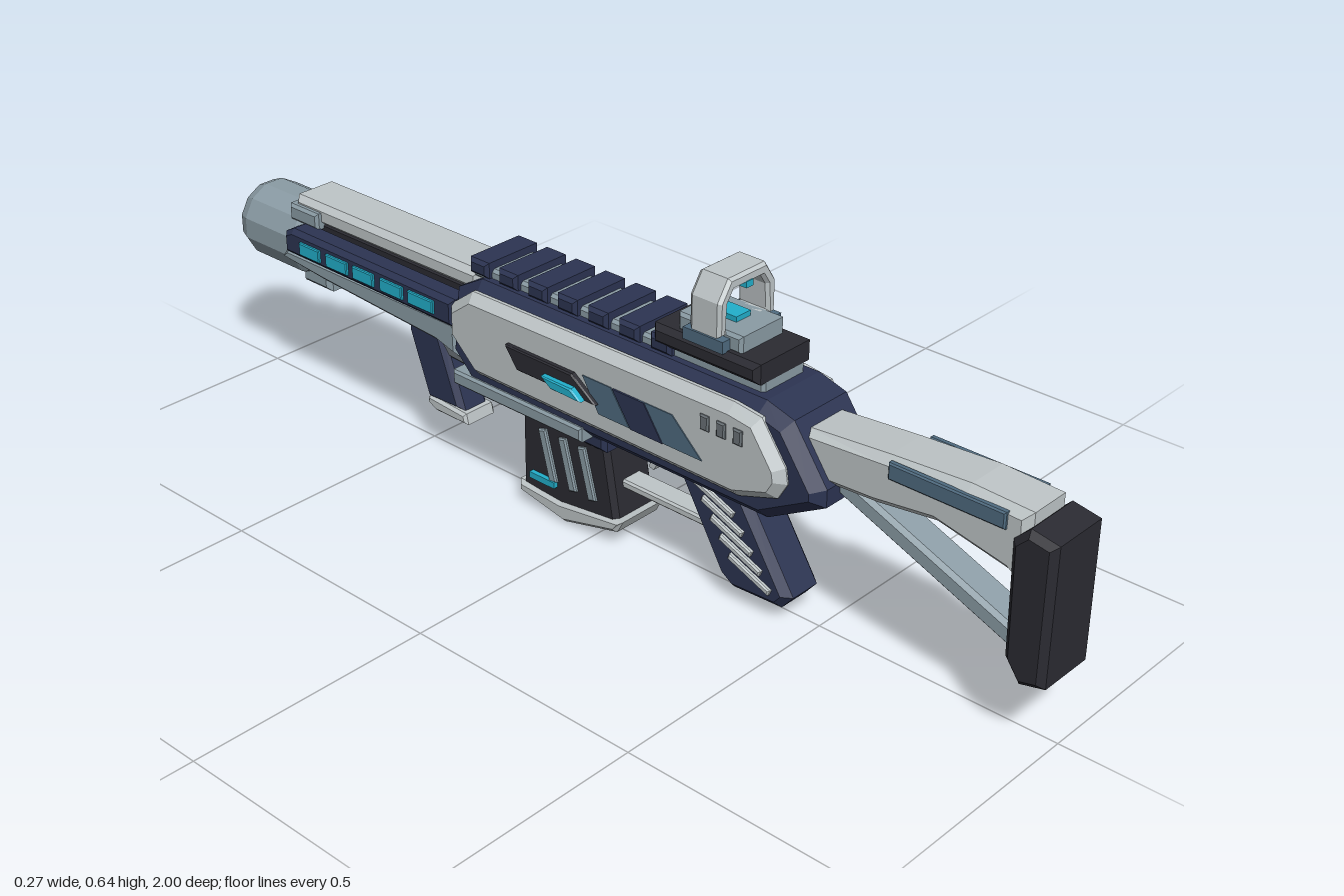
import * as THREE from 'three';

const mat = (name, color) => {
  const m = new THREE.MeshStandardMaterial({ color });
  m.name = name;
  return m;
};

export function createModel() {
  const light = mat('light grey', 0xbfc6c8), steel = mat('steel grey', 0x8b9ca5);
  const slate = mat('slate blue', 0x4f6b80), navy = mat('navy', 0x2c3452);
  const black = mat('black', 0x2b2b32), cyan = mat('cyan', 0x22b0cc);
  const grey = mat('mid grey', 0x6a7277);

  const model = new THREE.Group();
  model.name = 'rifle';

  const add = (name, geo, material, parent = model) => {
    const mesh = new THREE.Mesh(geo, material);
    mesh.name = name;
    parent.add(mesh);
    return mesh;
  };

  // Side profile of [z, y] points, extruded from x0 to x1 with a chamfer
  const slab = (name, pts, x0, x1, material, bevel = 0) => {
    const shape = new THREE.Shape(pts.map(p => new THREE.Vector2(p[0], p[1])));
    const geo = new THREE.ExtrudeGeometry(shape, {
      depth: x1 - x0 - 2 * bevel, bevelEnabled: bevel > 0, bevelThickness: bevel,
      bevelSize: bevel, bevelOffset: -bevel, bevelSegments: 1,
    });
    geo.translate(0, 0, bevel - (x1 - x0) / 2);
    geo.rotateY(-Math.PI / 2);
    geo.translate((x0 + x1) / 2, 0, 0);
    return add(name, geo, material);
  };
  const mid = (name, pts, half, material, bevel) => slab(name, pts, -half, half, material, bevel);
  const sides = (name, pts, x0, x1, material, bevel) => {
    slab(name + 'Left', pts, x0, x1, material, bevel);
    slab(name + 'Right', pts, -x1, -x0, material, bevel);
  };
  const rect = (z0, z1, y0, y1) => [[z0, y0], [z1, y0], [z1, y1], [z0, y1]];
  // Straight bar between two [z, y] points
  const bar = (a, b, w) => {
    const l = Math.hypot(b[0] - a[0], b[1] - a[1]);
    const nz = -(b[1] - a[1]) / l * w / 2, ny = (b[0] - a[0]) / l * w / 2;
    return [[a[0] + nz, a[1] + ny], [a[0] - nz, a[1] - ny], [b[0] - nz, b[1] - ny], [b[0] + nz, b[1] + ny]];
  };

  // Stock
  mid('buttPad', [[1, 0.14], [0.95, 0.128], [0.92, 0.17], [0.915, 0.39], [0.945, 0.42], [1, 0.41]], 0.07, black, 0.012);
  mid('stockBeam', [[0.94, 0.30], [0.9, 0.32], [0.76, 0.35], [0.64, 0.335], [0.53, 0.33], [0.48, 0.42],
    [0.66, 0.435], [0.82, 0.445], [0.94, 0.44]], 0.057, light, 0.015);
  mid('stockStrut', bar([0.94, 0.175], [0.54, 0.335], 0.04), 0.035, steel, 0.008);
  sides('stockInlay', rect(0.67, 0.9, 0.40, 0.432), 0.05, 0.064, slate, 0.003);

  // Receiver
  mid('receiver', [[0.555, 0.30], [0.555, 0.335], [0.48, 0.44], [0.42, 0.457], [-0.27, 0.457], [-0.335, 0.42],
    [-0.35, 0.29], [-0.29, 0.23], [0.43, 0.23]], 0.092, navy, 0.022);
  sides('sidePanel', [[0.49, 0.33], [0.485, 0.36], [0.43, 0.437], [0.37, 0.445], [-0.27, 0.44], [-0.33, 0.395],
    [-0.33, 0.335], [-0.26, 0.27], [0.385, 0.266], [0.47, 0.295]], 0.07, 0.113, light, 0.018);
  sides('rearInlay', [[0.315, 0.315], [0.2, 0.315], [0.165, 0.38], [0.245, 0.38]], 0.108, 0.115, slate);
  sides('stripeInlay', [[0.225, 0.315], [0.15, 0.315], [0.105, 0.38], [0.18, 0.38]], 0.109, 0.117, navy);
  sides('frontInlay', [[0.145, 0.315], [0.07, 0.315], [0.03, 0.38], [0.1, 0.38]], 0.108, 0.115, slate);
  sides('ejectionPort', [[0.07, 0.335], [-0.13, 0.335], [-0.16, 0.378], [0.01, 0.378]], 0.105, 0.124, black, 0.003);
  sides('portLever', [[0.045, 0.337], [-0.03, 0.337], [-0.055, 0.356], [0.02, 0.356]], 0.11, 0.137, cyan, 0.003);
  for (const z of [0.31, 0.347, 0.384])
    sides('vent', rect(z, z + 0.02, 0.378, 0.408), 0.105, 0.118, grey, 0.003);
  sides('lowerRail', rect(-0.33, 0.01, 0.225, 0.255), 0.05, 0.1, steel, 0.005);
  mid('magazineWell', rect(-0.28, 0.04, 0.2, 0.235), 0.068, navy, 0.008);

  // Top rail
  mid('railBase', rect(-0.31, 0.4, 0.445, 0.475), 0.056, steel, 0.006);
  for (let i = 0; i < 7; i++)
    mid('railTooth', rect(-0.307 + i * 0.076, -0.258 + i * 0.076, 0.458, 0.49), 0.07, navy, 0.007);

  // Sight
  mid('sightBase', rect(0.16, 0.4, 0.475, 0.514), 0.075, black, 0.01);
  mid('sightClamp', rect(0.235, 0.325, 0.512, 0.535), 0.078, slate);
  mid('sightMount', rect(0.205, 0.35, 0.51, 0.545), 0.058, steel, 0.006);
  const frame = new THREE.Shape([[-0.074, 0.535], [0.074, 0.535], [0.074, 0.6], [0.048, 0.639], [-0.048, 0.639],
    [-0.074, 0.6]].map(p => new THREE.Vector2(...p)));
  frame.holes.push(new THREE.Path([[-0.055, 0.545], [-0.052, 0.595], [-0.038, 0.616], [0.038, 0.616],
    [0.052, 0.595], [0.055, 0.545]].map(p => new THREE.Vector2(...p))));
  const frameGeo = new THREE.ExtrudeGeometry(frame, { depth: 0.056, bevelThickness: 0.007, bevelSize: 0.005,
    bevelOffset: -0.005, bevelSegments: 1 });
  add('sightFrame', frameGeo.translate(0, 0, 0.252), light);
  mid('sightLens', rect(0.255, 0.305, 0.54, 0.555), 0.019, cyan);
  mid('sightDot', rect(0.243, 0.317, 0.61, 0.622), 0.009, cyan);

  // Handguard and barrel
  mid('barrelCore', rect(-0.82, -0.3, 0.315, 0.425), 0.05, black, 0.015);
  mid('topCover', [[-0.3, 0.41], [-0.3, 0.455], [-0.83, 0.455], [-0.84, 0.41]], 0.055, light, 0.012);
  sides('coverCollar', rect(-0.835, -0.75, 0.405, 0.44), 0.035, 0.068, steel, 0.006);
  sides('handguardRail', [[-0.32, 0.345], [-0.32, 0.405], [-0.79, 0.408], [-0.815, 0.395], [-0.815, 0.35]], 0.05, 0.104, navy, 0.01);
  for (const [a, b] of [[-0.44, -0.37], [-0.52, -0.457], [-0.6, -0.54], [-0.68, -0.617], [-0.76, -0.7]])
    sides('glowCell', rect(a, b, 0.363, 0.39), 0.095, 0.11, cyan, 0.002);
  sides('lowerGuard', [[-0.33, 0.275], [-0.33, 0.35], [-0.83, 0.35], [-0.85, 0.325], [-0.72, 0.31], [-0.39, 0.29]], 0.03, 0.088, steel, 0.01);
  mid('guardBlock', [[-0.28, 0.25], [-0.28, 0.35], [-0.38, 0.35], [-0.39, 0.28], [-0.37, 0.255]], 0.075, grey, 0.01);
  mid('barrelBracket', rect(-0.83, -0.745, 0.262, 0.32), 0.05, steel, 0.01);
  mid('underBarrel', rect(-0.8, -0.36, 0.28, 0.32), 0.028, black, 0.01);

  // Muzzle, turned around the barrel line
  const turned = (name, pts, material) => {
    let geo = new THREE.LatheGeometry(pts.map(p => new THREE.Vector2(...p)), 12, Math.PI / 12);
    geo = geo.toNonIndexed();
    geo.computeVertexNormals();
    add(name, geo.rotateX(-Math.PI / 2).translate(0, 0.35, 0), material);
  };
  turned('muzzle', [[0, 0.8], [0.075, 0.8], [0.083, 0.82], [0.083, 0.965], [0.073, 0.99], [0.053, 0.99], [0.053, 0.95]], steel);
  turned('muzzleRing', [[0.054, 0.95], [0.054, 1], [0.034, 1], [0.03, 0.94]], cyan);
  turned('bore', [[0.034, 0.945], [0, 0.945]], black);

  // Foregrip
  mid('foregrip', [[-0.44, 0.3], [-0.525, 0.29], [-0.527, 0.255], [-0.475, 0.113], [-0.375, 0.118]], 0.038, navy, 0.012);
  mid('foregripFoot', [[-0.36, 0.095], [-0.365, 0.118], [-0.47, 0.125], [-0.475, 0.108], [-0.45, 0.095]], 0.04, light, 0.006);

  // Pistol grip with slanted ribs
  mid('pistolGrip', [[0.35, 0.24], [0.19, 0.24], [0.3, 0.045], [0.33, 0.025], [0.44, 0.03], [0.465, 0.06]], 0.048, navy, 0.015);
  for (let i = 0; i < 5; i++) {
    const z = 0.425 - i * 0.022, y = 0.062 + i * 0.031;
    sides('gripRib', bar([z, y], [z - 0.095, y + 0.038], 0.013), 0.04, 0.056, light, 0.003);
  }

  // Trigger and guard
  mid('trigger', [[0.145, 0.235], [0.12, 0.235], [0.1, 0.175], [0.112, 0.172]], 0.012, light);
  mid('triggerGuard', rect(0.03, 0.26, 0.112, 0.13), 0.025, light, 0.004);

  // Magazine
  mid('magazine', [[0.03, 0.22], [-0.19, 0.22], [-0.19, 0.04], [-0.08, 0.03], [0.06, 0.05]], 0.055, black, 0.01);
  for (const z of [0, -0.05, -0.102])
    sides('magazineRib', bar([z, 0.08], [z - 0.028, 0.185], 0.02), 0.048, 0.062, steel, 0.003);
  sides('magazineLight', rect(-0.16, -0.095, 0.07, 0.083), 0.045, 0.065, cyan);
  mid('magazineFloor', [[0.075, 0.062], [0.06, 0.035], [-0.075, 0.002], [-0.195, 0.025], [-0.195, 0.05], [-0.085, 0.043]], 0.062, light, 0.008);

  // Rest the base on the ground
  const box = new THREE.Box3().setFromObject(model);
  model.position.y = -box.min.y;
  return model;
}
